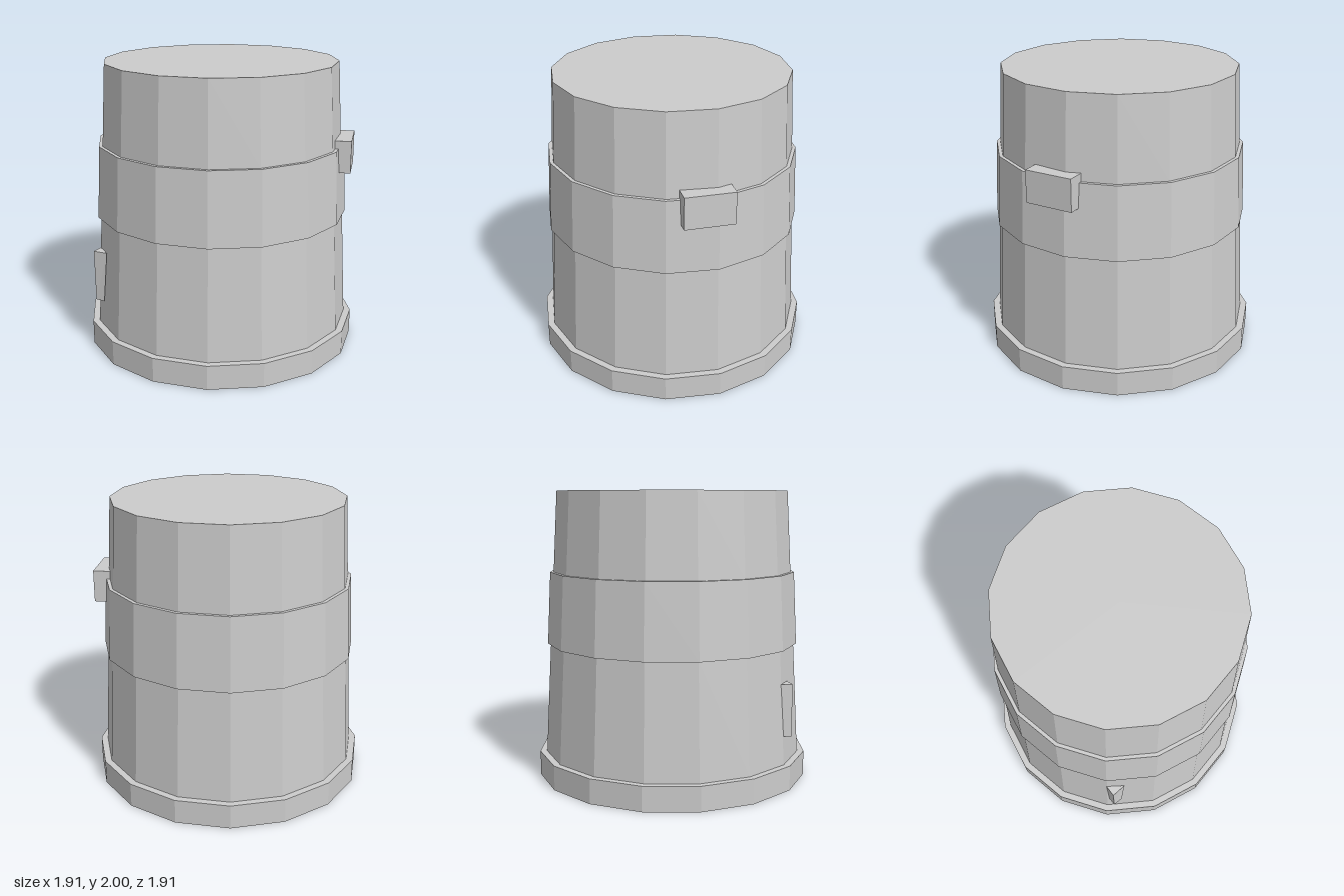
import * as THREE from 'three';

export function createModel() {
  const model = new THREE.Group();
  const grey = new THREE.MeshStandardMaterial({ color: 0xcccccc, flatShading: true });
  const SIDES = 16;

  function add(name, geometry) {
    const mesh = new THREE.Mesh(geometry, grey);
    mesh.name = name;
    model.add(mesh);
    return mesh;
  }

  // Sixteen-sided ring or shell from a [radius, height] profile
  function turned(name, profile) {
    return add(name, new THREE.LatheGeometry(profile.map(([r, y]) => new THREE.Vector2(r, y)), SIDES));
  }

  // Recessed underside and projecting foot rim
  turned('footRim', [[0, 0.16], [0.905, 0.16], [0.925, 0], [0.955, 0], [0.955, 0.17], [0.905, 0.17]]);

  // Tapered walls, slightly proud middle band and flat top
  turned('lowerWall', [[0.908, 0.17], [0.865, 0.945]]);
  turned('middleBand', [[0.865, 0.945], [0.885, 0.945], [0.86, 1.445], [0.836, 1.445]]);
  turned('upperWall', [[0.836, 1.445], [0.805, 2], [0, 2]]);

  // Block on the front left
  const block = add('sideBlock', new THREE.BoxGeometry(0.334, 0.22, 0.16));
  const turn = Math.atan2(0.63, 0.78);
  block.rotation.y = turn;
  block.position.set(0.588 - 0.08 * Math.sin(turn), 1.39, 0.705 - 0.08 * Math.cos(turn));

  // Three-sided fin on the right wall, narrowing downwards
  const top = [[-0.885, -0.31], [-0.84, -0.215], [-0.805, -0.34]];
  const bottom = [[-0.885, -0.305], [-0.86, -0.24], [-0.825, -0.33]];
  const corners = [
    ...bottom.map(([x, z]) => [x, 0.36, z]),
    ...top.map(([x, z]) => [x, 0.72, z]),
  ];
  const fin = new THREE.BufferGeometry();
  fin.setAttribute('position', new THREE.Float32BufferAttribute(corners.flat(), 3));
  const faces = [0, 2, 1, 3, 4, 5];
  for (let i = 0; i < 3; i++) {
    const j = (i + 1) % 3;
    faces.push(i, j, j + 3, i, j + 3, i + 3);
  }
  fin.setIndex(faces);
  fin.computeVertexNormals();
  add('sideFin', fin);

  // Small peg under the base
  add('basePeg', new THREE.CylinderGeometry(0.06, 0.06, 0.05, 8)).position.set(-0.66, 0.14, -0.01);

  return model;
}
